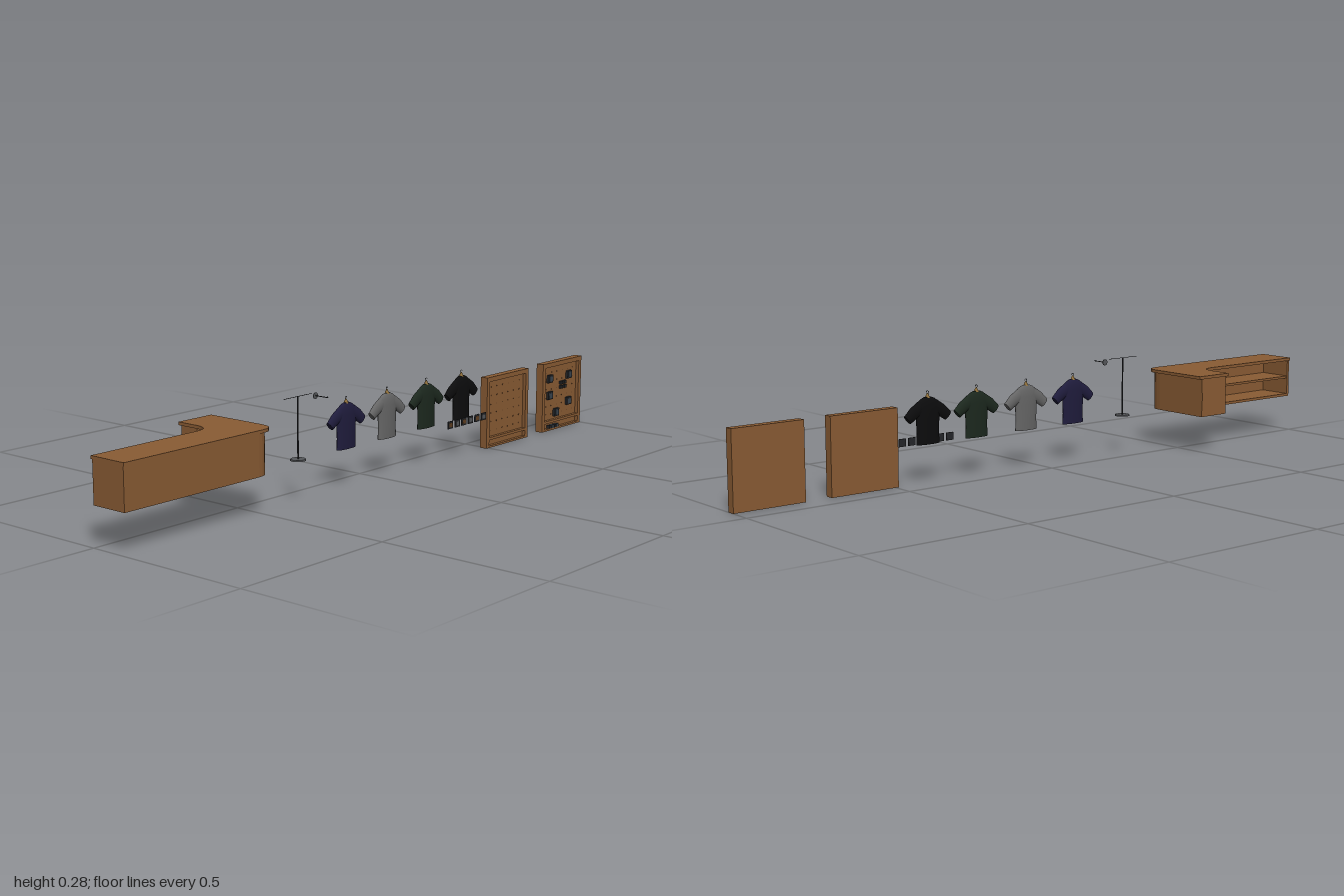
import * as THREE from 'three';
import { mergeVertices } from 'three/addons/utils/BufferGeometryUtils.js';

const mat = (name, color, side = THREE.FrontSide) => {
  const m = new THREE.MeshStandardMaterial({ color, side });
  m.name = name;
  return m;
};

export function createModel() {
  const model = new THREE.Group();
  model.name = 'shopFittings';
  const wood = mat('wood', 0x8a5c34);
  const pegWood = mat('dark wood', 0x5f3f22);
  const hangerWood = mat('hanger wood', 0x8f6f3a);
  const charcoal = mat('charcoal', 0x26272a);
  const slate = mat('slate', 0x39444e);
  const steel = mat('grey metal', 0x55575a);
  const cloths = [mat('navy cloth', 0x1f1c3c), mat('grey cloth', 0x666666),
    mat('green cloth', 0x1c281e), mat('black cloth', 0x0c0c0d)];

  const group = (name, parent = model) => {
    const g = new THREE.Group();
    g.name = name;
    parent.add(g);
    return g;
  };
  const add = (parent, name, geo, material, x = 0, y = 0, z = 0) => {
    const m = new THREE.Mesh(geo, material);
    m.name = name;
    m.position.set(x, y, z);
    parent.add(m);
    return m;
  };
  // box given by its extents
  const box = (parent, name, material, x0, x1, y0, y1, z0, z1) =>
    add(parent, name, new THREE.BoxGeometry(x1 - x0, y1 - y0, z1 - z0), material,
      (x0 + x1) / 2, (y0 + y1) / 2, (z0 + z1) / 2);

  // ---- L-shaped counter, curved at the corner ----
  const counter = group('counter');
  const corner = (name, y0, y1, xr, zf, xi, zb, ze, ro, ri) => {
    const s = new THREE.Shape();
    s.moveTo(-1, -zf);
    s.lineTo(xr - ro, -zf);
    s.quadraticCurveTo(xr, -zf, xr, ro - zf);
    s.lineTo(xr, -ze);
    s.lineTo(xi, -ze);
    s.lineTo(xi, ri - zb);
    s.quadraticCurveTo(xi, -zb, xi - ri, -zb);
    s.lineTo(-1, -zb);
    const geo = new THREE.ExtrudeGeometry(s, { depth: y1 - y0, bevelEnabled: false, curveSegments: 6 });
    geo.rotateX(-Math.PI / 2);
    add(counter, name, geo, wood, 0, y0, 0);
  };
  corner('counterTop', 0.224, 0.233, -0.475, 0.118, -0.595, 0, -0.118, 0.047, 0.05);
  corner('frontPanel', 0.109, 0.224, -0.49, 0.116, -0.498, 0.108, -0.112, 0.045, 0.043);
  corner('baseBoard', 0.109, 0.117, -0.491, 0.115, -0.588, 0.006, -0.111, 0.045, 0.05);
  corner('middleShelf', 0.167, 0.174, -0.491, 0.115, -0.588, 0.006, -0.111, 0.045, 0.05);
  box(counter, 'endPanel', wood, -1, -0.992, 0.109, 0.224, 0.005, 0.115);
  box(counter, 'returnCabinet', wood, -0.59, -0.491, 0.1095, 0.224, -0.1125, -0.055);

  // ---- Display stand with thin crossbar ----
  const stand = group('displayStand');
  add(stand, 'standBase', new THREE.CylinderGeometry(0.021, 0.022, 0.004, 24), steel, -0.33, 0.111, 0.064);
  add(stand, 'standPole', new THREE.CylinderGeometry(0.0022, 0.0022, 0.174, 12), charcoal, -0.33, 0.198, 0.064);
  add(stand, 'crossbar', new THREE.CylinderGeometry(0.0008, 0.0008, 0.11, 6).rotateZ(Math.PI / 2),
    charcoal, -0.33, 0.284, 0.064);

  // ---- Projecting arm with end disc ----
  const arm = group('projectingArm');
  add(arm, 'armRod', new THREE.CylinderGeometry(0.0012, 0.0012, 0.044, 8).rotateX(Math.PI / 2),
    charcoal, -0.26, 0.276, 0.087);
  add(arm, 'armPlate', new THREE.CylinderGeometry(0.009, 0.009, 0.002, 20).rotateX(Math.PI / 2),
    steel, -0.26, 0.276, 0.065);
  add(arm, 'armTip', new THREE.SphereGeometry(0.002, 10, 8), charcoal, -0.26, 0.277, 0.109);

  // ---- Shirts: elliptical rings [x, y, half width, half depth] along direction t ----
  const loft = (rings, t) => {
    const n = 20, pos = [], idx = [];
    rings.forEach(([cx, cy, h, d]) => {
      for (let j = 0; j < n; j++) {
        const a = (j / n) * Math.PI * 2, c = Math.cos(a) * h;
        pos.push(cx + c * t[1], cy - c * t[0], Math.sin(a) * d);
      }
    });
    for (let i = 0; i < rings.length - 1; i++) {
      for (let j = 0; j < n; j++) {
        const a = i * n + j, b = i * n + (j + 1) % n;
        idx.push(a, a + n, b, b, a + n, b + n);
      }
    }
    // separate end caps keep the hem edge crisp
    [0, rings.length - 1].forEach((r, k) => {
      const base = pos.length / 3;
      for (let j = 0; j < n; j++) pos.push(...pos.slice((r * n + j) * 3, (r * n + j) * 3 + 3));
      for (let j = 1; j < n - 1; j++) {
        if (k) idx.push(base, base + j + 1, base + j);
        else idx.push(base, base + j, base + j + 1);
      }
    });
    const geo = new THREE.BufferGeometry();
    geo.setAttribute('position', new THREE.Float32BufferAttribute(pos, 3));
    geo.setIndex(idx);
    geo.computeVertexNormals();
    return mergeVertices(geo);
  };
  const torso = loft([
    [0, 0.108, 0.039, 0.0105], [0, 0.14, 0.037, 0.011], [0, 0.18, 0.039, 0.0115],
    [0, 0.205, 0.043, 0.0115], [0, 0.222, 0.039, 0.0105], [0, 0.233, 0.024, 0.007],
    [0, 0.238, 0.012, 0.005]], [0, 1]);
  const sleeve = (s) => loft([
    [s * 0.018, 0.212, 0.021, 0.009], [s * 0.045, 0.198, 0.018, 0.0095],
    [s * 0.068, 0.18, 0.0145, 0.008]], [s * 0.76, -0.65]);
  const sleeves = [sleeve(1), sleeve(-1)];
  [-0.134, 0.043, 0.222, 0.39].forEach((x, i) => {
    const shirt = group('shirt');
    shirt.position.set(x, 0, 0.065);
    add(shirt, 'shirtBody', torso, cloths[i]);
    sleeves.forEach((g) => add(shirt, 'shirtSleeve', g, cloths[i]));
    add(shirt, 'hangerNeck', new THREE.CylinderGeometry(0.002, 0.007, 0.012, 12), hangerWood, 0, 0.242, 0);
    add(shirt, 'hangerHook', new THREE.TorusGeometry(0.004, 0.0008, 6, 14, Math.PI * 1.4), charcoal, 0, 0.251, 0);
  });

  // ---- Row of small square tiles ----
  const tiles = group('tileRow');
  for (let i = 0; i < 6; i++) {
    const x = 0.283 + i * 0.0325;
    box(tiles, 'tile', charcoal, x - 0.0115, x + 0.0115, 0.1, 0.122, 0.107, 0.11);
    box(tiles, 'tileFace', i % 2 ? steel : pegWood, x - 0.007, x + 0.007, 0.105, 0.117, 0.11, 0.111);
  }

  // ---- Framed peg boards with a bottom ledge ----
  const board = (x0) => {
    const g = group('pegBoard'), x1 = x0 + 0.215, e = 0.014;
    box(g, 'backPanel', wood, x0, x1, 0, 0.219, 0.064, 0.078);
    box(g, 'frameSide', wood, x0, x0 + e, 0, 0.219, 0.078, 0.089);
    box(g, 'frameSide', wood, x1 - e, x1, 0, 0.219, 0.078, 0.089);
    box(g, 'frameTop', wood, x0 + e, x1 - e, 0.205, 0.219, 0.078, 0.089);
    box(g, 'ledge', wood, x0 + e, x1 - e, 0.024, 0.032, 0.078, 0.089);
    box(g, 'bottomRail', wood, x0 + e, x1 - e, 0, 0.006, 0.078, 0.089);
    for (let i = 0; i < 6; i++) {
      for (let j = 0; j < 6; j++) {
        const x = x0 + 0.035 + i * 0.029, y = 0.05 + j * 0.027;
        box(g, 'pegHole', pegWood, x - 0.0015, x + 0.0015, y - 0.0015, y + 0.0015, 0.078, 0.079);
      }
    }
    return g;
  };
  board(0.49);
  const stocked = board(0.785);

  // ---- Goods on the second board ----
  [[0.834, 0.166], [0.941, 0.166], [0.834, 0.112], [0.941, 0.08], [0.872, 0.053]].forEach(([x, y]) => {
    box(stocked, 'goodsBox', charcoal, x - 0.0125, x + 0.0125, y - 0.0125, y + 0.0125, 0.078, 0.086);
    box(stocked, 'goodsFace', slate, x - 0.008, x + 0.008, y - 0.008, y + 0.008, 0.086, 0.087);
  });
  for (const sx of [-1, 1]) {
    for (const sy of [-1, 1]) {
      const x = 0.907 + sx * 0.01, y = 0.138 + sy * 0.007;
      box(stocked, 'smallGoods', charcoal, x - 0.006, x + 0.006, y - 0.005, y + 0.005, 0.078, 0.086);
    }
  }
  for (let i = 0; i < 4; i++) {
    const x = 0.832 + i * 0.013;
    box(stocked, 'trayItem', i % 2 ? slate : charcoal, x - 0.005, x + 0.005, 0.006, 0.016, 0.078, 0.09);
  }
  return model;
}
